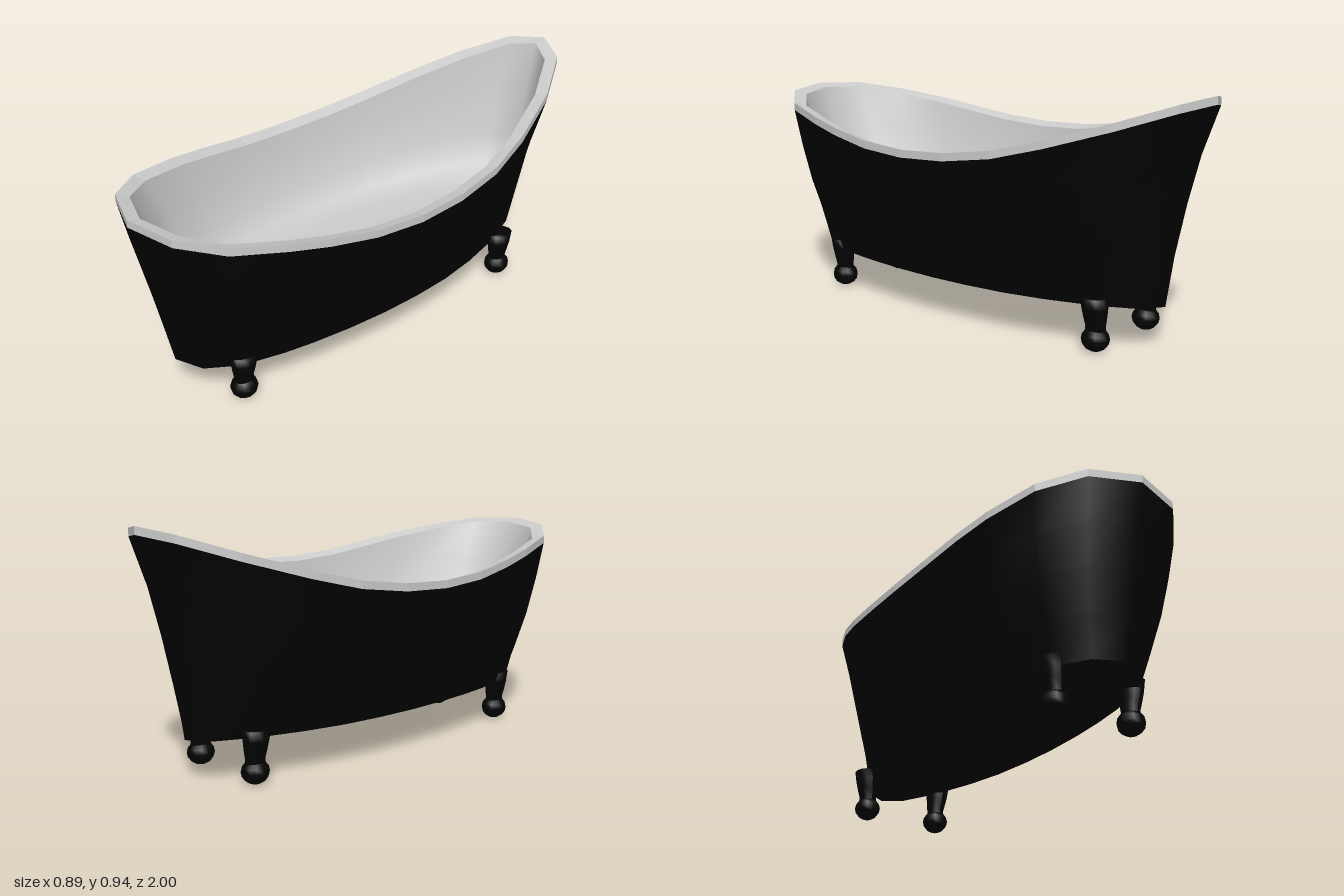
import * as THREE from 'three';

const BLACK = new THREE.MeshStandardMaterial({ color: 0x020202 });
const ENAMEL = new THREE.MeshStandardMaterial({ color: 0xcccccc });
const RIM = new THREE.MeshStandardMaterial({ color: 0xcccccc, flatShading: true });

const BASE_Y = 0.165, FLOOR_Y = 0.32, LIP = 0.03, WALL = 0.05;

// half of the rim outline, from the back tip to the front: x, y, z
const HALF = [
  [0, 0.94, -1], [0.137, 0.918, -0.935], [0.26, 0.853, -0.755], [0.355, 0.782, -0.53],
  [0.41, 0.732, -0.34], [0.438, 0.704, -0.14], [0.447, 0.695, 0.06], [0.437, 0.705, 0.26],
  [0.412, 0.732, 0.45], [0.38, 0.757, 0.6], [0.313, 0.787, 0.8], [0.19, 0.815, 0.94], [0, 0.825, 1],
];
const LAST = HALF.length - 1;
const OUTLINE = [...HALF, ...HALF.slice(1, LAST).reverse().map(([x, y, z]) => [-x, y, z])];
const N = OUTLINE.length;

// rows from bottom to top: height fraction, width factor, back z, front z
const SHELL_ROWS = [
  [0, 0.59, -0.82, 0.87], [0.25, 0.735, -0.85, 0.902], [0.5, 0.86, -0.885, 0.935],
  [0.75, 0.94, -0.932, 0.968], [1, 1, -1, 1],
];
const BASIN_ROWS = [
  [0, 0.45, -0.79, 0.735], [0.11, 0.63, -0.835, 0.785], [0.34, 0.755, -0.875, 0.835], [0.7, 0.845, -0.915, 0.89],
];

function ring([t, sx, back, front], bottom) {
  return OUTLINE.map(([x, y, z]) => [
    x * sx,
    THREE.MathUtils.lerp(bottom, y - LIP, t),
    THREE.MathUtils.lerp(back, front, (z + 1) / 2),
  ]);
}

// move a ring inwards along its horizontal normals
function inset(points, d, drop) {
  return points.map(([x, y, z], i) => {
    const p = points[(i + N - 1) % N], q = points[(i + 1) % N];
    const dx = q[0] - p[0], dz = q[2] - p[2], len = Math.hypot(dx, dz);
    return [x - (dz / len) * d, y - drop, z + (dx / len) * d];
  });
}

// triangles across a symmetric ring starting at vertex offset o
function capIndex(o, up) {
  const index = [];
  for (let i = 0; i < LAST; i++) {
    const a = o + i, b = o + i + 1, c = o + N - i - 1, d = o + ((N - i) % N);
    if (up) index.push(a, c, b, a, d, c);
    else index.push(a, b, c, a, c, d);
  }
  return index;
}

// skin between successive rings
function loftIndex(count) {
  const index = [];
  for (let k = 0; k < count - 1; k++) {
    for (let i = 0; i < N; i++) {
      const a = k * N + i, b = k * N + ((i + 1) % N);
      index.push(a, a + N, b, b, a + N, b + N);
    }
  }
  return index;
}

function surface(name, rings, index, material) {
  const g = new THREE.BufferGeometry();
  g.setAttribute('position', new THREE.Float32BufferAttribute(rings.flat(2), 3));
  g.setIndex(index);
  g.computeVertexNormals();
  const mesh = new THREE.Mesh(g, material);
  mesh.name = name;
  return mesh;
}

// foot: flared stem, leaning slightly outwards, on a flattened ball
function makeLeg(name, side, z) {
  const leg = new THREE.Group();
  leg.name = name;
  const profile = [[0.032, 0.06], [0.032, 0.095], [0.037, 0.125], [0.042, 0.165], [0.044, 0.205], [0, 0.195]]
    .map(([r, y]) => new THREE.Vector2(r, y));
  const stemGeo = new THREE.LatheGeometry(profile, 12);
  const pos = stemGeo.attributes.position;
  for (let i = 0; i < pos.count; i++) {
    pos.setX(i, pos.getX(i) + side * Math.max(0, pos.getY(i) - 0.09) * 0.1);
    pos.setZ(i, pos.getZ(i) * 1.22);
  }
  stemGeo.computeVertexNormals();
  const stem = new THREE.Mesh(stemGeo, BLACK);
  stem.name = 'legStem';
  const ball = new THREE.Mesh(new THREE.SphereGeometry(0.052, 12, 8), BLACK);
  ball.name = 'legBall';
  ball.scale.set(0.97, 0.9, 1.04);
  ball.position.y = 0.0468;
  leg.add(stem, ball);
  leg.position.set(side * 0.163, 0, z);
  return leg;
}

export function createModel() {
  const model = new THREE.Group();
  model.name = 'bathtub';

  // dark outer wall and underside
  const outer = SHELL_ROWS.map((row) => ring(row, BASE_Y));
  model.add(surface('outerShell', outer, loftIndex(outer.length), BLACK));
  model.add(surface('underside', [outer[0]], capIndex(0, false), BLACK));

  // pale rim: vertical lip, then the flat top
  const innerEdge = inset(OUTLINE, WALL, 0.014);
  model.add(surface('rim', [outer[outer.length - 1], OUTLINE, innerEdge], loftIndex(3), RIM));

  // pale basin with a raised floor that runs smoothly into the walls
  const basin = [...BASIN_ROWS.map((row) => ring(row, FLOOR_Y)), innerEdge].reverse();
  const floor = capIndex((basin.length - 1) * N, true);
  model.add(surface('basin', basin, [...loftIndex(basin.length), ...floor], ENAMEL));

  // four feet
  for (const [sideName, side] of [['Left', 1], ['Right', -1]]) {
    model.add(makeLeg(`front${sideName}Leg`, side, 0.68));
    model.add(makeLeg(`back${sideName}Leg`, side, -0.633));
  }
  return model;
}
